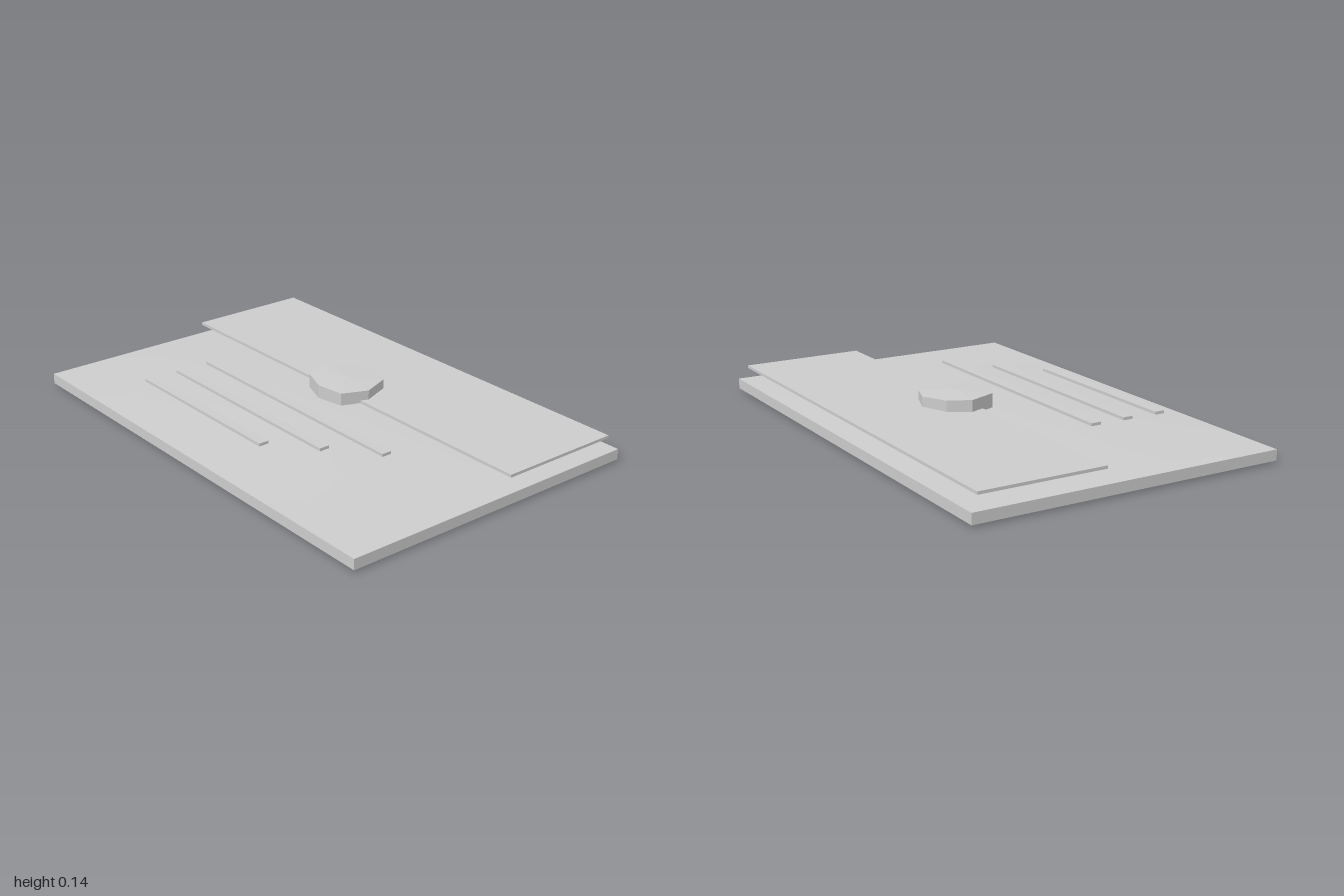
import * as THREE from 'three';

export function createModel() {
  const paper = new THREE.MeshStandardMaterial({ color: 0xcccccc });
  paper.name = 'plain grey';

  const root = new THREE.Group();
  root.name = 'envelope';
  // everything lies flat, turned a little on the ground
  const turned = new THREE.Group();
  turned.name = 'turnedEnvelope';
  turned.rotation.y = -0.379;
  root.add(turned);

  const add = (name, geometry, x, y, z, parent = turned) => {
    const mesh = new THREE.Mesh(geometry, paper);
    mesh.name = name;
    mesh.position.set(x, y, z);
    parent.add(mesh);
  };

  // body: a thin slab whose top and bottom bulge slightly towards the middle
  const W = 1.7, D = 1.12;
  const body = new THREE.BoxGeometry(W, 1, D, 6, 1, 6);
  const p = body.attributes.position;
  const falloff = (v, half) => Math.max(0, 1 - Math.abs(v) / half);
  for (let i = 0; i < p.count; i++) {
    const bulge = Math.pow(falloff(p.getX(i), W / 2) * falloff(p.getZ(i), D / 2), 0.7);
    p.setY(i, p.getY(i) > 0 ? 0.045 + 0.026 * bulge : 0.008 * (1 - bulge));
  }
  body.computeVertexNormals();
  add('body', body, 0, 0, 0);

  // flap and writing lines
  add('flap', new THREE.BoxGeometry(1.66, 0.01, 0.447), 0, 0.091, -0.306);
  [[0.97, 0.006, 0.125], [0.815, -0.07, 0.253], [0.668, -0.145, 0.381]].forEach(([len, x, z], i) =>
    add('line' + (i + 1), new THREE.BoxGeometry(len, 0.01, 0.036), x, 0.101, z));

  // seal: an uneven eight-sided disc with a slightly raised middle
  const rim = [[0.053, 0.125], [0.12, 0.05], [0.12, -0.06], [0.053, -0.122],
    [-0.05, -0.122], [-0.12, -0.07], [-0.12, 0.038], [-0.045, 0.105]];
  const seal = new THREE.CylinderGeometry(1, 1, 1, 8).toNonIndexed();
  const s = seal.attributes.position;
  for (let i = 0; i < s.count; i++) {
    const x = s.getX(i), z = s.getZ(i), top = s.getY(i) > 0;
    if (Math.hypot(x, z) < 0.5) {
      s.setY(i, top ? 0.139 : 0.085);
      continue;
    }
    const k = (Math.round(Math.atan2(x, z) / (Math.PI / 4)) + 8) % 8;
    const [rx, rz] = rim[k];
    s.setXYZ(i, rx, top ? 0.133 - 0.03 * rx : 0.087, rz);
  }
  seal.computeVertexNormals();
  add('seal', seal, 0.04, 0, -0.105, root);

  return root;
}
